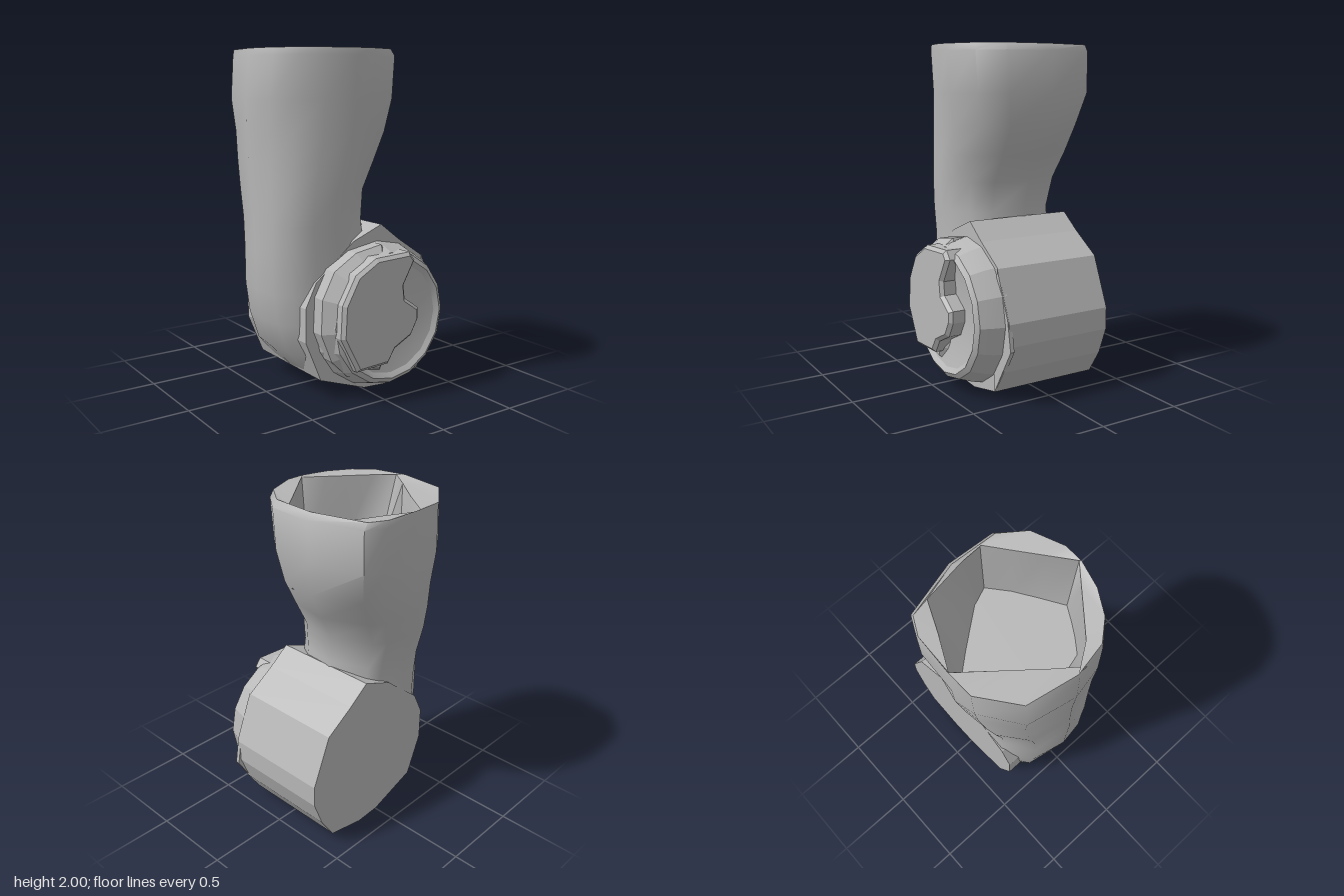
import * as THREE from 'three';
import { toCreasedNormals } from 'three/addons/utils/BufferGeometryUtils.js';

// Sleeve outline in x, z, filling a box from -1 to 1
const OUTLINE = [
  [1, -0.12], [0.96, 0.51], [0.71, 0.83], [0.27, 1], [0, 1], [-0.37, 0.9], [-0.69, 0.72],
  [-0.91, 0.47], [-1, 0.03], [-0.87, -0.63], [-0.38, -0.99], [0, -1], [0.56, -0.97], [0.8, -0.85],
];
// The same directions on a regular rounded section; a higher n is squarer
const rounded = (n) => OUTLINE.map(([u, v]) => {
  const r = (Math.abs(u) ** n + Math.abs(v) ** n) ** (1 / n);
  return [u / r, v / r];
});

// Mouth and floor of the hollow, in model x, z
const MOUTH = [
  [0.28, -0.07], [0.29, 0.06], [0.16, 0.16], [0.02, 0.27], [-0.11, 0.37], [-0.22, 0.28], [-0.33, 0.19],
  [-0.44, 0.10], [-0.54, 0.01], [-0.43, -0.13], [-0.28, -0.31], [-0.12, -0.50], [0.06, -0.41], [0.24, -0.33],
];
const FLOOR = [
  [0.25, -0.01], [0.28, 0.06], [0.16, 0.16], [0.02, 0.25], [-0.11, 0.33], [-0.20, 0.28], [-0.28, 0.23],
  [-0.36, 0.17], [-0.40, 0.02], [-0.43, -0.13], [-0.28, -0.31], [-0.12, -0.48], [0.06, -0.27], [0.235, -0.05],
];

// Lofted skin through sections [y, xMin, xMax, zMin, zMax, ring], closed at both ends
function loft(rows) {
  const sides = OUTLINE.length, pos = [], idx = [];
  for (const [y, x0, x1, z0, z1, ring] of rows) {
    for (const [u, v] of ring) {
      pos.push((x0 + x1) / 2 + u * (x1 - x0) / 2, y, (z0 + z1) / 2 + v * (z1 - z0) / 2);
    }
  }
  for (let i = 0; i < rows.length - 1; i++) {
    for (let j = 0; j < sides; j++) {
      const k = (j + 1) % sides, a = i * sides + j, b = i * sides + k;
      idx.push(a, a + sides, b, b, a + sides, b + sides);
    }
  }
  const last = (rows.length - 1) * sides;
  for (let j = 1; j < sides - 1; j++) {
    idx.push(0, j, j + 1);
    idx.push(last, last + j + 1, last + j);
  }
  const g = new THREE.BufferGeometry();
  g.setAttribute('position', new THREE.Float32BufferAttribute(pos, 3));
  g.setIndex(idx);
  return toCreasedNormals(g, 0.8);
}

// Flat outline in x, y pushed along z
function prism(points, z0, z1, bevel = 0) {
  const shape = new THREE.Shape(points.map(([x, y]) => new THREE.Vector2(x, y)));
  const g = new THREE.ExtrudeGeometry(shape, {
    depth: z1 - z0 - 2 * bevel, bevelEnabled: bevel > 0, bevelThickness: bevel,
    bevelSize: bevel, bevelOffset: -bevel, bevelSegments: 1,
  });
  return g.translate(0, 0, z0 + bevel);
}

export function createModel() {
  const model = new THREE.Group();
  const grey = new THREE.MeshStandardMaterial({ color: 0xb8b8b8 });
  grey.name = 'plainGrey';
  const add = (name, geometry) => {
    const mesh = new THREE.Mesh(geometry, grey);
    mesh.name = name;
    model.add(mesh);
  };

  // Sleeve: rounded heel, narrow neck, flared mouth, then a flat rim around a deep well
  add('sleeve', loft([
    [0.01, -0.06, 0.14, -0.36, 0.29, rounded(4)],
    [0.11, -0.30, 0.16, -0.365, 0.295, rounded(3.2)],
    [0.26, -0.44, 0.16, -0.37, 0.30, rounded(2.8)],
    [0.44, -0.51, 0.16, -0.37, 0.30, rounded(2.6)],
    [0.62, -0.54, 0.16, -0.37, 0.30, rounded(2.5)],
    [0.85, -0.545, 0.15, -0.37, 0.30, rounded(2.4)],
    [1.02, -0.55, 0.12, -0.38, 0.31, rounded(2.3)],
    [1.20, -0.555, 0.14, -0.43, 0.32, rounded(2.2)],
    [1.36, -0.56, 0.23, -0.47, 0.33, rounded(2.2)],
    [1.53, -0.565, 0.32, -0.50, 0.34, rounded(2.2)],
    [1.72, -0.57, 0.33, -0.505, 0.36, OUTLINE],
    [1.96, -0.555, 0.33, -0.505, 0.38, OUTLINE],
    [2.00, -0.545, 0.30, -0.505, 0.375, OUTLINE],
    [1.99, -1, 1, -1, 1, MOUTH],
    [1.50, -1, 1, -1, 1, FLOOR],
  ]));

  // Cross drum, lying front to back
  add('drum', prism([
    [0.00, 0.01], [0.16, 0.00], [0.40, 0.05], [0.49, 0.19], [0.55, 0.35], [0.55, 0.48],
    [0.43, 0.77], [0.25, 0.89], [0.12, 0.99], [-0.08, 0.91], [-0.34, 0.70],
    [-0.41, 0.56], [-0.41, 0.36], [-0.31, 0.12],
  ], -0.37, 0.30));

  // Pointed lip on the drum's front edge
  add('drumLip', prism([[0.40, 0.05], [0.57, 0.33], [0.54, 0.50], [0.43, 0.77], [0.38, 0.40]], 0.28, 0.305));

  // Dished ring on the front of the drum
  const profile = [[0.44, 0.28], [0.42, 0.36], [0.39, 0.44], [0.36, 0.46], [0.33, 0.44], [0.20, 0.41], [0, 0.41]];
  const dish = new THREE.LatheGeometry(profile.map(([r, z]) => new THREE.Vector2(r, z)), 16);
  dish.rotateX(Math.PI / 2).translate(0.085, 0.46, 0);
  add('dishedRing', toCreasedNormals(dish, 0.35));

  // Raised front cap with a notched right edge
  add('frontCap', prism([
    [-0.19, 0.20], [0.03, 0.21], [0.08, 0.29], [0.20, 0.35], [0.25, 0.44], [0.25, 0.51],
    [0.15, 0.58], [0.14, 0.66], [0.22, 0.80], [0.18, 0.85], [-0.06, 0.84], [-0.20, 0.76],
    [-0.29, 0.60], [-0.30, 0.41],
  ], 0.36, 0.505, 0.02));

  // Shoulder of the cap, sloping back to the drum
  add('capShoulder', prism([
    [-0.18, 0.14], [0.04, 0.10], [0.10, 0.22], [0.10, 0.80], [0.06, 0.89], [-0.12, 0.86],
    [-0.27, 0.77], [-0.35, 0.62], [-0.36, 0.42], [-0.29, 0.25],
  ], 0.22, 0.45, 0.07));

  return model;
}
